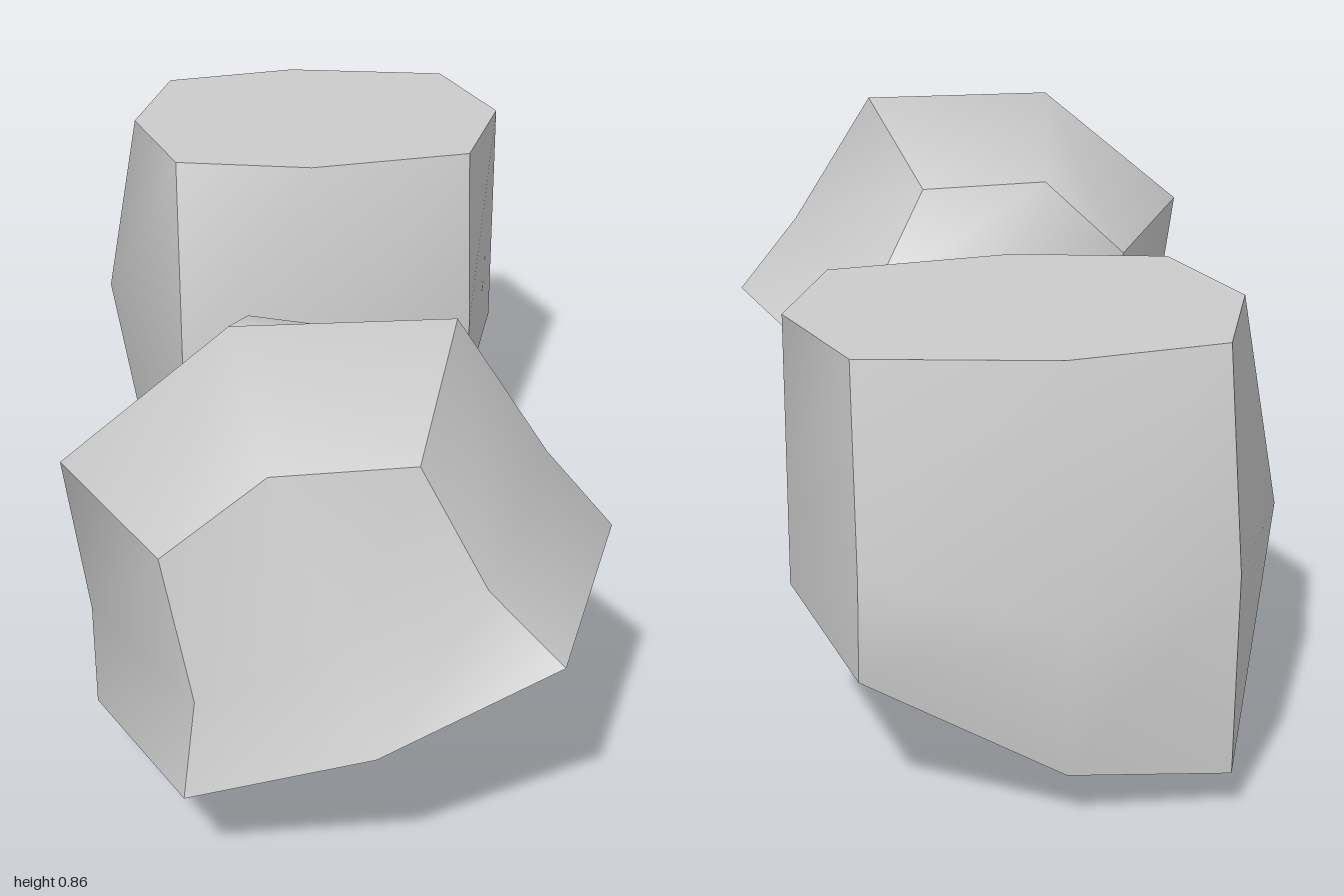
import * as THREE from 'three';

const material = new THREE.MeshStandardMaterial({ color: 0xcccccc, side: THREE.DoubleSide });

// Expands five points [x, y, half depth] (right, front right, front, front left, left) to a mirrored ring of eight.
function ring(half) {
  const back = half.slice(1, 4).reverse().map(([x, y, z]) => [x, y, -z]);
  return [...half, ...back];
}

function surface(points, index, name) {
  const geometry = new THREE.BufferGeometry();
  geometry.setAttribute('position', new THREE.Float32BufferAttribute(points.flat(), 3));
  geometry.setIndex(index);
  geometry.computeVertexNormals();
  const mesh = new THREE.Mesh(geometry, material);
  mesh.name = name;
  return mesh;
}

// Smooth wall panel through three neighbouring columns of the rings, top to bottom.
function panel(rings, columns, name) {
  const points = rings.flatMap((r) => columns.map((c) => r[c]));
  const n = columns.length;
  const index = [];
  for (let r = 0; r < rings.length - 1; r++) {
    for (let c = 0; c < n - 1; c++) {
      const a = r * n + c, b = a + 1, d = a + n, e = d + 1;
      index.push(a, b, e, a, e, d);
    }
  }
  return surface(points, index, name);
}

// Fan from a centre point to the top ring.
function cap(centre, top, name) {
  const index = top.flatMap((_, i) => [0, 1 + ((i + 1) % top.length), 1 + i]);
  return surface([centre, ...top], index, name);
}

// Open-bottomed shell: four creased wall panels and a cap.
function shell(name, halves, centre, z) {
  const rings = halves.map(ring);
  const group = new THREE.Group();
  group.name = name;
  group.add(
    cap(centre, rings[0], 'cap'),
    panel(rings, [7, 0, 1], 'leftWall'),
    panel(rings, [1, 2, 3], 'frontWall'),
    panel(rings, [3, 4, 5], 'rightWall'),
    panel(rings, [5, 6, 7], 'backWall'),
  );
  group.position.z = z;
  return group;
}

export function createModel() {
  const model = new THREE.Group();
  model.name = 'shellPair';

  // Leaning dome at the front
  model.add(shell('domedShell', [
    [[0.19, 0.865, 0], [0.103, 0.725, 0.24], [-0.14, 0.745, 0.29], [-0.313, 0.575, 0.24], [-0.47, 0.625, 0]],
    [[0.35, 0.61, 0], [0.213, 0.515, 0.28], [-0.04, 0.49, 0.368], [-0.263, 0.34, 0.302], [-0.43, 0.335, 0]],
    [[0.47, 0.46, 0], [0.33, 0.41, 0.354], [0.02, 0.303, 0.428], [-0.285, 0.19, 0.355], [-0.428, 0.143, 0]],
  ], [-0.185, 0.865, 0], 0.572));

  // Flat-topped shell with a slanted rim at the back
  model.add(shell('flatShell', [
    [[0.435, 0.775, 0], [0.345, 0.775, 0.241], [0.02, 0.775, 0.293], [-0.25, 0.775, 0.243], [-0.33, 0.775, 0]],
    [[0.435, 0.5, 0], [0.345, 0.435, 0.315], [0.02, 0.365, 0.379], [-0.25, 0.43, 0.353], [-0.395, 0.4, 0]],
    [[0.435, 0.3, 0], [0.345, 0.255, 0.292], [0.02, 0.095, 0.345], [-0.25, 0.075, 0.338], [-0.33, 0.003, 0]],
  ], [0.02, 0.775, 0], -0.621));

  return model;
}
